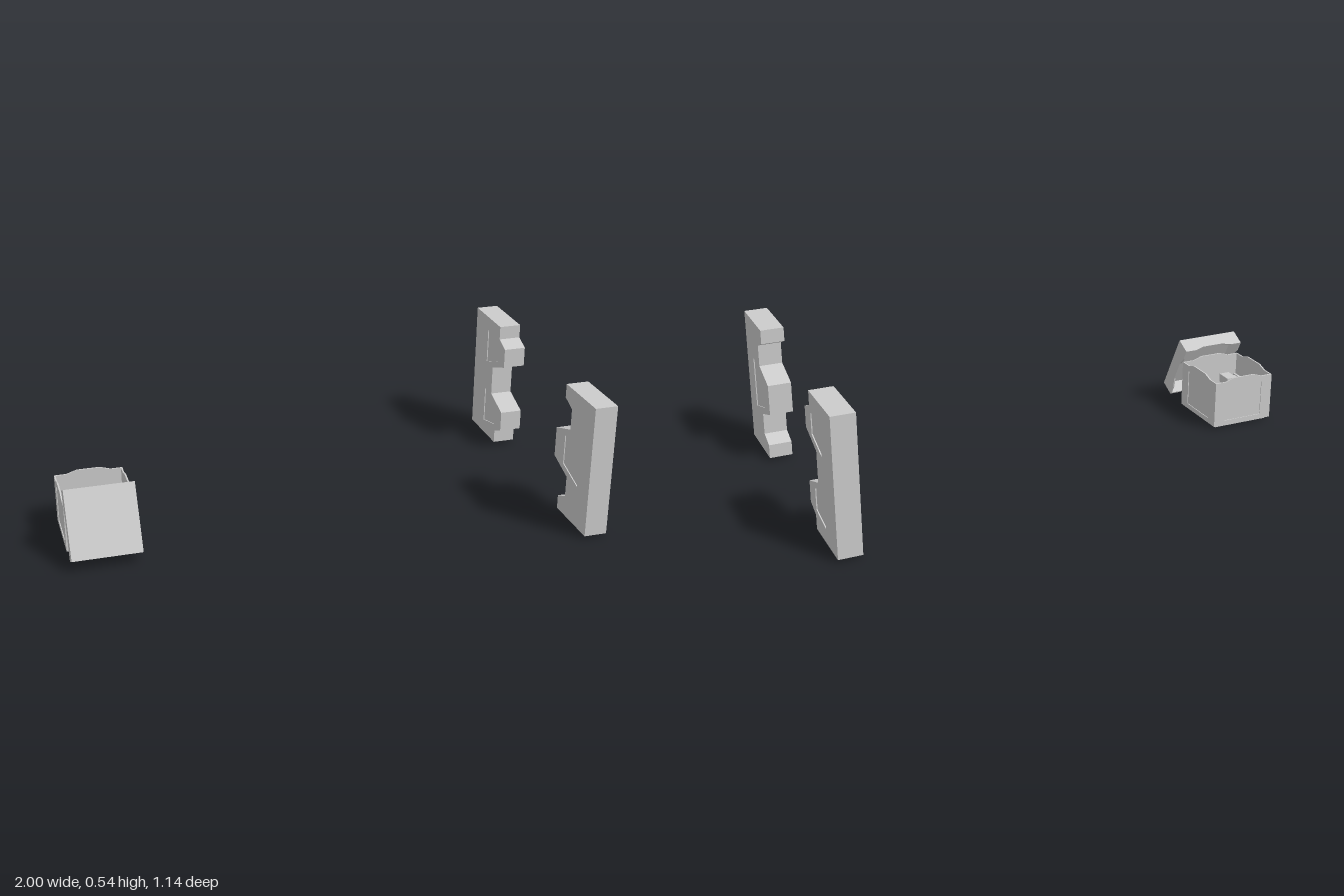
import * as THREE from 'three';

const grey = new THREE.MeshStandardMaterial({ color: 0xcccccc, flatShading: true, side: THREE.DoubleSide });

const vecs = (pts) => pts.map(([x, y]) => new THREE.Vector2(x, y));

// Extruded slab from z0 to z1, optionally pierced by holes
function slab(name, pts, z0, z1, holes = []) {
  const shape = new THREE.Shape(vecs(pts));
  holes.forEach((h) => shape.holes.push(new THREE.Path(vecs(h))));
  const geo = new THREE.ExtrudeGeometry(shape, { depth: z1 - z0, bevelEnabled: false });
  geo.translate(0, 0, z0);
  const mesh = new THREE.Mesh(geo, grey);
  mesh.name = name;
  return mesh;
}

function box(name, w, h, d, x, y, z) {
  const mesh = new THREE.Mesh(new THREE.BoxGeometry(w, h, d), grey);
  mesh.position.set(x, y, z);
  mesh.name = name;
  return mesh;
}

// Door leaf: a core between two faces with shallow sunken panels
function doorLeaf(name, outline, panels) {
  const leaf = new THREE.Group();
  leaf.name = name;
  leaf.add(
    slab('doorOuterFace', outline, 0, 0.004, panels),
    slab('doorCore', outline, 0.004, 0.086),
    slab('doorInnerFace', outline, 0.086, 0.09, panels)
  );
  leaf.rotation.y = -Math.PI / 2;
  leaf.position.x = 1;
  return leaf;
}

// Four thin walls around a rectangle; makeWall(width) gives a group facing +z
function fourWalls(target, width, depth, makeWall) {
  for (let i = 0; i < 4; i++) {
    const side = i % 2 === 1;
    const wall = makeWall(side ? depth : width);
    const angle = (i * Math.PI) / 2;
    const out = (side ? width : depth) / 2;
    wall.rotation.y = angle;
    wall.position.set(Math.sin(angle) * out, 0, Math.cos(angle) * out);
    target.add(wall);
  }
}

const W = 0.265, D = 0.27;

// Crate wall with a raised middle on its rim and a sunken panel
function crateWall(width) {
  const h = width / 2;
  const outline = [
    [-h, 0.01], [h, 0.01], [h, 0.2], [0.085, 0.2], [0.045, 0.213],
    [-0.045, 0.213], [-0.085, 0.2], [-h, 0.2],
  ];
  const panel = [
    [-0.085, 0.03], [0.085, 0.03], [0.085, 0.175],
    [0.045, 0.195], [-0.045, 0.195], [-0.085, 0.175],
  ];
  const wall = new THREE.Group();
  wall.name = 'crateWall';
  wall.add(
    slab('wallFace', outline, -0.003, 0, [panel]),
    slab('wallBacking', outline, -0.006, -0.003)
  );
  return wall;
}

// Lid wall with a rim cut to fit over the crate
function lidWall(width) {
  const h = width / 2;
  return slab('lidWall', [
    [-h, 0], [-h, -0.067], [-0.085, -0.067], [-0.045, -0.055],
    [0.045, -0.055], [0.085, -0.067], [h, -0.067], [h, 0],
  ], -0.006, 0);
}

export function createModel() {
  const model = new THREE.Group();
  model.name = 'crateAndDoor';

  // Open crate
  const crate = new THREE.Group();
  crate.name = 'crate';
  crate.position.x = -0.8675;
  fourWalls(crate, W, D, crateWall);
  crate.add(box('crateFloor', W - 0.004, 0.008, D - 0.004, 0, 0.014, 0));
  crate.add(box('crateBase', W - 0.03, 0.012, D - 0.03, 0, 0.006, 0));
  model.add(crate);

  // Small item held inside the crate
  const item = new THREE.Group();
  item.name = 'crateItem';
  item.add(
    box('itemBody', 0.043, 0.035, 0.064, -0.872, 0.15, -0.005),
    box('itemStem', 0.018, 0.018, 0.03, -0.902, 0.15, -0.005),
    box('itemTip', 0.009, 0.026, 0.044, -0.9155, 0.15, -0.005)
  );
  model.add(item);

  // Lid leaning against the crate
  const lid = new THREE.Group();
  lid.name = 'lid';
  fourWalls(lid, W, 0.264, lidWall);
  lid.add(box('lidTop', W, 0.008, 0.264, 0, -0.004, 0));
  lid.rotation.x = 1.099;
  lid.position.set(-0.8675, 0.1675, 0.23);
  model.add(lid);

  // Door leaf with one tooth, between notches; points are z, y
  model.add(doorLeaf('frontDoorLeaf', [
    [0.57, 0.01], [0.57, 0.54], [0.323, 0.54], [0.323, 0.485], [0.383, 0.46],
    [0.383, 0.375], [0.267, 0.335], [0.267, 0.215], [0.383, 0.175],
    [0.383, 0.09], [0.323, 0.065], [0.323, 0.01],
  ], [[[0.475, 0.175], [0.475, 0.378], [0.345, 0.335], [0.345, 0.215]]]));

  // Door leaf with two teeth that fit the notches
  const teeth = [0.34, 0.065].map((y, i) => (i === 0
    ? [[-0.33, 0.38], [-0.33, 0.46], [-0.443, 0.485], [-0.443, y]]
    : [[-0.33, 0.09], [-0.33, 0.173], [-0.443, 0.215], [-0.443, y]]));
  model.add(doorLeaf('backDoorLeaf', [
    [-0.57, 0.01], [-0.57, 0.54], [-0.32, 0.54], [-0.32, 0.485], [-0.26, 0.46],
    [-0.26, 0.38], [-0.376, 0.335], [-0.376, 0.215], [-0.26, 0.173],
    [-0.26, 0.09], [-0.32, 0.065], [-0.32, 0.01],
  ], teeth));

  return model;
}
